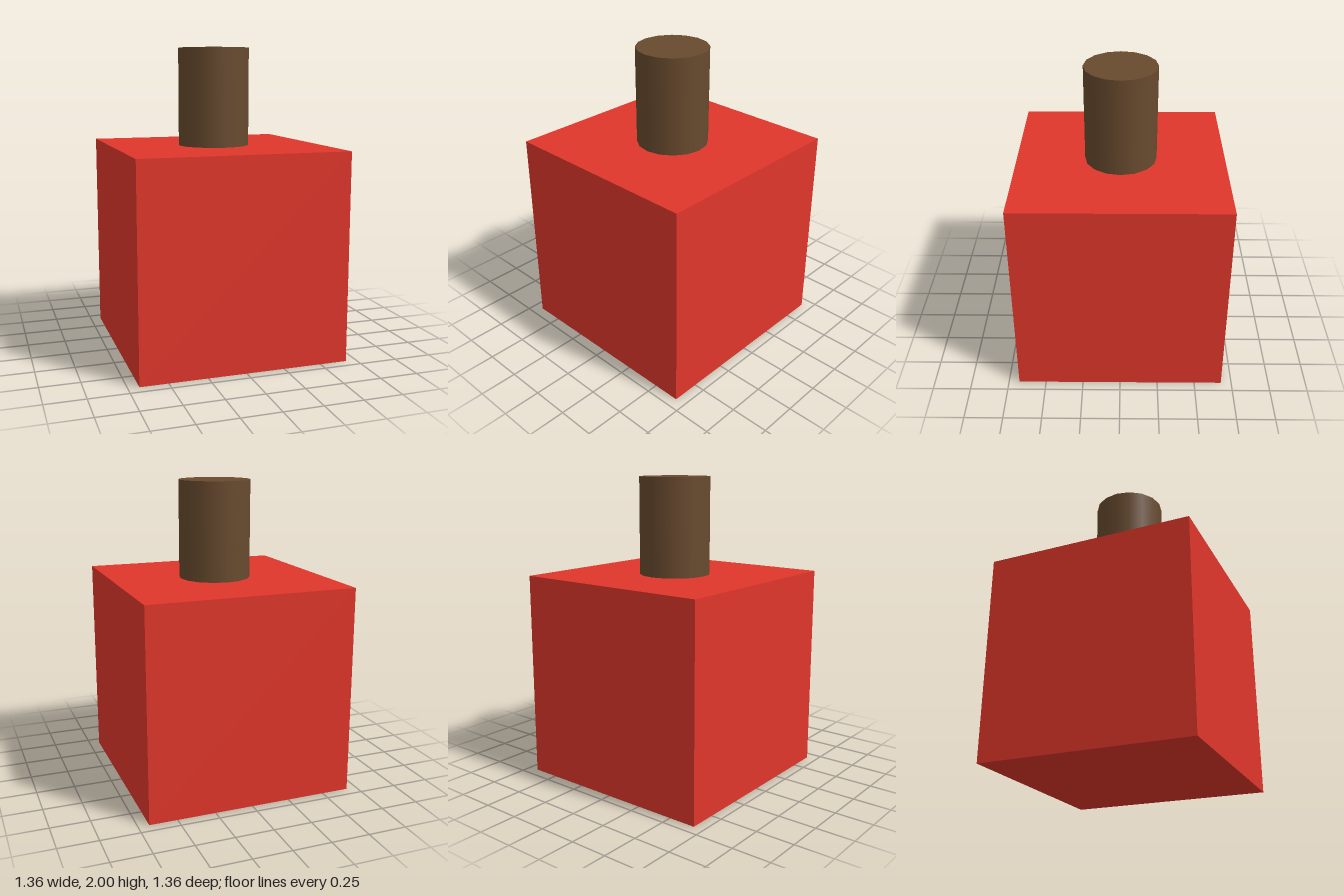
import * as THREE from 'three';

const BODY = 1.36;          // cube edge
const STEM_RADIUS = 0.234;
const STEM_HEIGHT = 2 - BODY;

function part(name, geometry, color, y) {
  const mesh = new THREE.Mesh(geometry, new THREE.MeshStandardMaterial({ color }));
  mesh.name = name;
  mesh.position.y = y;
  return mesh;
}

export function createModel() {
  const model = new THREE.Group();
  model.name = 'cubeWithStem';

  // Cube body standing on the ground
  model.add(part('body', new THREE.BoxGeometry(BODY, BODY, BODY), 0xe0362a, BODY / 2));

  // Smooth 16-sided stem on top
  const stem = new THREE.CylinderGeometry(STEM_RADIUS, STEM_RADIUS, STEM_HEIGHT, 16);
  model.add(part('stem', stem, 0x684a2e, BODY + STEM_HEIGHT / 2));

  return model;
}
